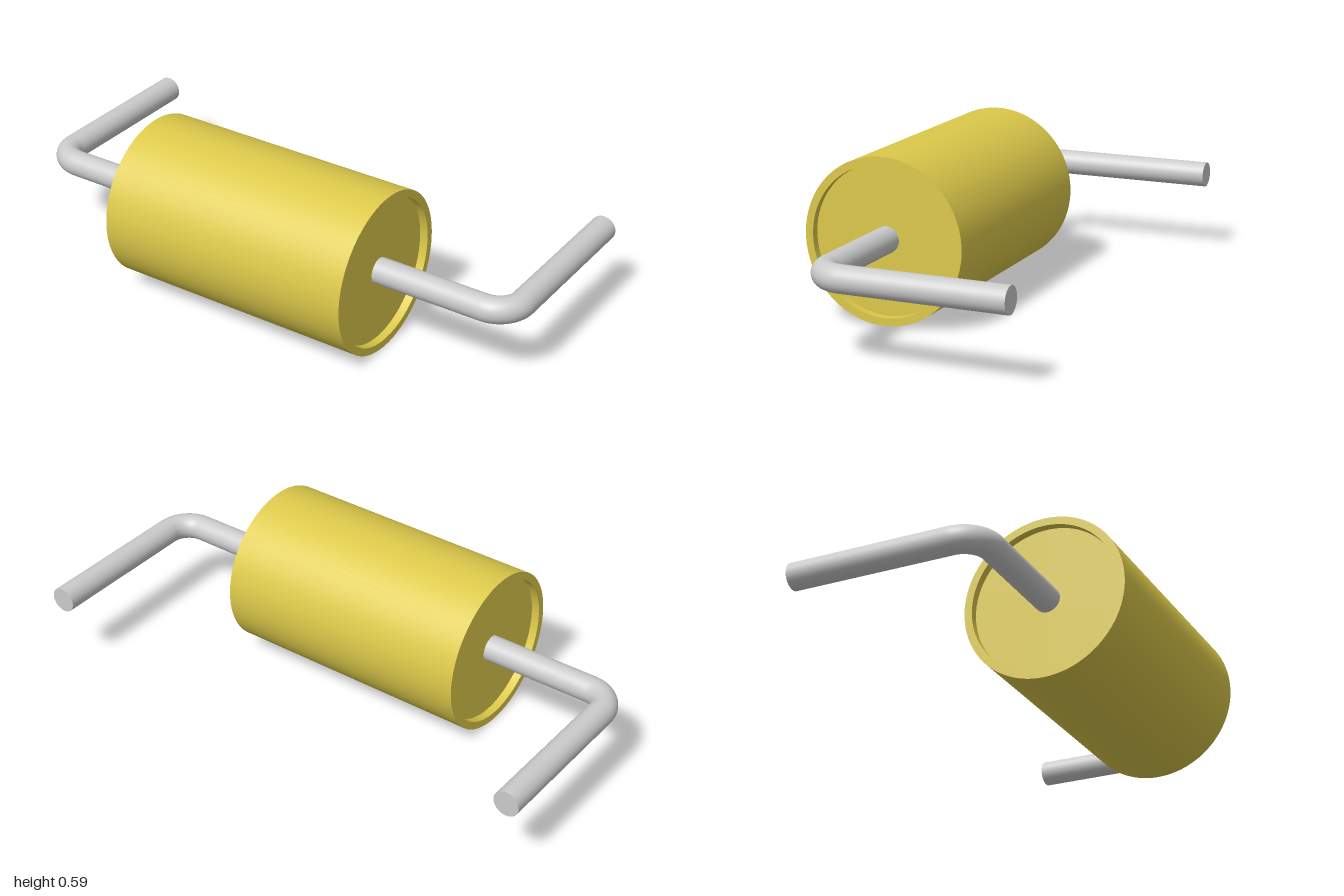
import * as THREE from 'three';
import { toCreasedNormals } from 'three/addons/utils/BufferGeometryUtils.js';

const AXIS_Y = 0.295, AXIS_Z = 0.19;             // centre line of the body
const R = 0.294, RIM = 0.266, HALF = 0.485, DEPTH = 0.03;
const WIRE = 0.047, BEND = 0.095, LEAD_X = 0.953, LEAD_END = -0.485;

export function createModel() {
  const model = new THREE.Group();
  model.name = 'axialComponent';
  const yellow = new THREE.MeshStandardMaterial({ color: 0xdcc94a });
  const grey = new THREE.MeshStandardMaterial({ color: 0xcccccc });

  // Cylindrical body with a shallow recess at each end
  const floor = HALF - DEPTH;
  const profile = [
    [0, -floor], [RIM, -floor], [RIM, -HALF], [R, -HALF],
    [R, HALF], [RIM, HALF], [RIM, floor], [0, floor],
  ].map(([r, y]) => new THREE.Vector2(r, y));
  const bodyGeometry = toCreasedNormals(new THREE.LatheGeometry(profile, 96), 0.6);
  bodyGeometry.rotateZ(-Math.PI / 2);
  const body = new THREE.Mesh(bodyGeometry, yellow);
  body.name = 'body';
  body.position.set(0, AXIS_Y, AXIS_Z);
  model.add(body);

  // Wire lead: out of the body, round a bend, then straight to the back
  const bendX = LEAD_X - BEND, start = floor - 0.02;
  const backLength = AXIS_Z - BEND - LEAD_END;

  const makeLead = (name) => {
    const lead = new THREE.Group();
    lead.name = name;
    const add = (partName, geometry, x, z) => {
      const mesh = new THREE.Mesh(geometry, grey);
      mesh.name = partName;
      mesh.position.set(x, 0, z);
      lead.add(mesh);
    };
    const rod = (length) => new THREE.CylinderGeometry(WIRE, WIRE, length, 32);
    add('leadOut', rod(bendX - start).rotateZ(Math.PI / 2), (start + bendX) / 2, 0);
    add('leadBend', new THREE.TorusGeometry(BEND, WIRE, 32, 16, Math.PI / 2).rotateX(Math.PI / 2), bendX, -BEND);
    add('leadBack', rod(backLength).rotateX(Math.PI / 2), LEAD_X, -BEND - backLength / 2);
    lead.position.set(0, AXIS_Y + 0.002, AXIS_Z);
    return lead;
  };

  const left = makeLead('leftLead');
  const right = makeLead('rightLead');
  right.rotation.z = Math.PI;                    // half turn about z mirrors the lead
  model.add(left, right);

  return model;
}
